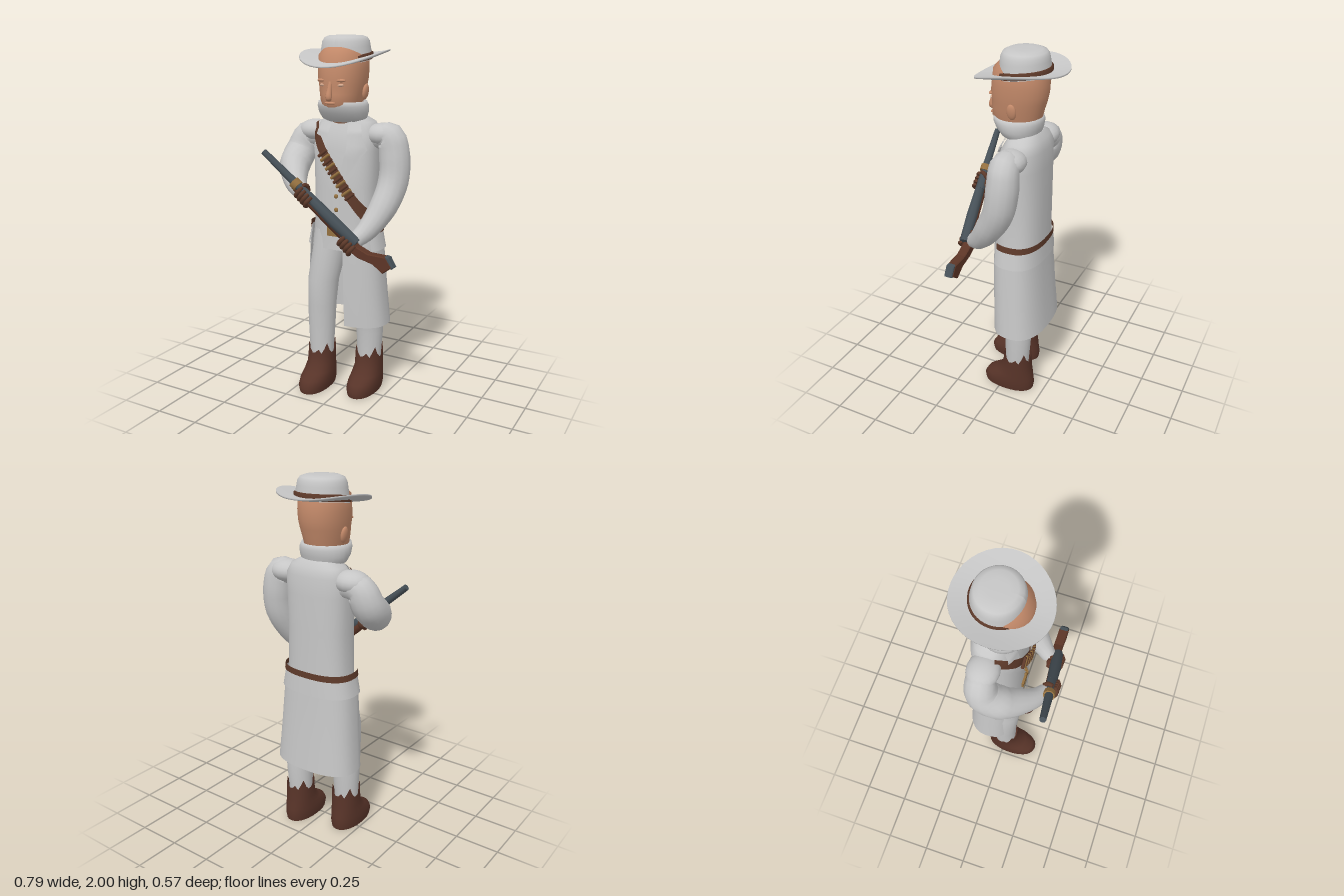
import * as THREE from 'three';

const V = (x, y, z) => new THREE.Vector3(x, y, z);
const mat = (name, color, double = true) => {
  const m = new THREE.MeshStandardMaterial({ color });
  m.name = name;
  if (double) m.side = THREE.DoubleSide;
  return m;
};

// Surface through a list of rings; closed rings can be capped at both ends
function skin(rings, closed = true, capped = true) {
  const n = rings[0].length, pos = [], idx = [];
  rings.forEach(r => r.forEach(p => pos.push(p.x, p.y, p.z)));
  const m = closed ? n : n - 1;
  for (let i = 0; i < rings.length - 1; i++) for (let j = 0; j < m; j++) {
    const a = i * n + j, b = i * n + (j + 1) % n, c = a + n, d = b + n;
    idx.push(a, b, c, b, d, c);
  }
  if (closed && capped) [rings[0], rings[rings.length - 1]].forEach((r, end) => {
    const base = pos.length / 3, mid = V(0, 0, 0);
    r.forEach(p => { mid.addScaledVector(p, 1 / n); pos.push(p.x, p.y, p.z); });
    pos.push(mid.x, mid.y, mid.z);
    for (let j = 0; j < n; j++) {
      const a = base + j, b = base + (j + 1) % n;
      end ? idx.push(base + n, a, b) : idx.push(base + n, b, a);
    }
  });
  const g = new THREE.BufferGeometry();
  g.setAttribute('position', new THREE.Float32BufferAttribute(pos, 3));
  g.setIndex(idx);
  g.computeVertexNormals();
  return g;
}

// Horizontal rounded sections [y, cx, cz, rx, rz]; angle 0 is the front
function ring([y, cx, cz, rx, rz], n = 28, p = 2, from = 0, to = Math.PI * 2, closed = true) {
  const f = v => Math.sign(v) * Math.abs(v) ** (2 / p);
  return Array.from({ length: n }, (_, j) => {
    const t = from + (to - from) * j / (closed ? n : n - 1);
    return V(cx + rx * f(Math.sin(t)), y, cz + rz * f(Math.cos(t)));
  });
}
const loft = (secs, n, p, capped) => skin(secs.map(s => ring(s, n, p)), true, capped);
const arcLoft = (secs, from, to, p) => skin(secs.map(s => ring(s, 32, p, from, to, false)), false);

// Tapered tube through [x, y, z, radius] points
function limb(pts, n = 14, steps = 4) {
  const curve = new THREE.CatmullRomCurve3(pts.map(p => V(p[0], p[1], p[2])));
  const count = (pts.length - 1) * steps, rings = [];
  for (let i = 0; i <= count; i++) {
    const k = Math.min(Math.floor(i / steps), pts.length - 2), f = i / steps - k;
    const r = pts[k][3] * (1 - f) + pts[k + 1][3] * f;
    const c = curve.getPoint(i / count), t = curve.getTangent(i / count);
    const N = V(0, 0, 1).addScaledVector(t, -t.z).normalize(), B = t.clone().cross(N);
    rings.push(Array.from({ length: n }, (_, j) => {
      const a = j / n * Math.PI * 2;
      return c.clone().addScaledVector(N, r * Math.cos(a)).addScaledVector(B, r * Math.sin(a));
    }));
  }
  return skin(rings);
}

// Jacket body sections, also used to lay lapels and straps on the chest
const BODY_P = 2.5;
const BODY = [
  [0.85, -0.02, -0.06, 0.2, 0.135], [0.97, -0.02, -0.06, 0.185, 0.13], [1.2, -0.02, -0.06, 0.18, 0.132],
  [1.4, -0.02, -0.063, 0.187, 0.127], [1.5, -0.02, -0.075, 0.185, 0.113],
  [1.55, -0.02, -0.08, 0.155, 0.09], [1.58, -0.02, -0.07, 0.1, 0.075]];
function chestZ(x, y) {
  let k = 0;
  while (k < BODY.length - 2 && BODY[k + 1][0] < y) k++;
  const f = Math.min(1, (y - BODY[k][0]) / (BODY[k + 1][0] - BODY[k][0]));
  const [, cx, cz, rx, rz] = BODY[k].map((v, i) => v + (BODY[k + 1][i] - v) * f);
  const u = Math.min(0.96, Math.abs((x - cx) / rx));
  return cz + rz * (1 - u ** BODY_P) ** (1 / BODY_P);
}
// Patch between two edges of [x, y] points, laid on the chest
function patch(a, b, off, steps = 8, cross = 5) {
  const rings = [];
  for (let k = 0; k < a.length - 1; k++) for (let s = k ? 1 : 0; s <= steps; s++) {
    const f = s / steps, at = (e, i) => e[k][i] + (e[k + 1][i] - e[k][i]) * f;
    rings.push(Array.from({ length: cross + 1 }, (_, j) => {
      const q = j / cross, x = at(a, 0) * (1 - q) + at(b, 0) * q, y = at(a, 1) * (1 - q) + at(b, 1) * q;
      return V(x, y, chestZ(x, y) + off);
    }));
  }
  return skin(rings, false);
}

export function createModel() {
  const g = new THREE.Group();
  const cloth = mat('pale cloth', 0xc6c6c6), skinM = mat('skin', 0xc48a6a), boot = mat('boot leather', 0x573328);
  const leather = mat('strap leather', 0x5e3a2a), steel = mat('gun steel', 0x465057), brass = mat('brass', 0x94703f);
  const wood = mat('stock wood', 0x5c3526), lid = mat('eyelid', 0xd3a78c);
  const add = (name, geo, m, parent = g) => {
    const o = new THREE.Mesh(geo, m);
    o.name = name;
    parent.add(o);
    return o;
  };
  const blob = (name, m, x, y, z, sx, sy, sz, parent) => {
    const o = add(name, new THREE.SphereGeometry(1, 16, 12), m, parent);
    o.position.set(x, y, z);
    o.scale.set(sx, sy, sz);
    return o;
  };

  // Legs and boots, the right foot further forward
  for (const [side, x, dz] of [['right', -0.155, 0], ['left', 0.113, -0.085]]) {
    const c = side === 'right' ? 1 : -1, k = dz * 0.4;
    add(side + 'Trouser', loft([[0.16, x, dz, 0.066, 0.066], [0.35, x, dz - 0.005, 0.078, 0.075],
      [0.5, x + c * 0.005, dz * 0.8, 0.083, 0.08], [0.65, x + c * 0.015, k, 0.09, 0.088],
      [0.85, x + c * 0.045, k - 0.03, 0.098, 0.1], [0.95, x + c * 0.05, -0.05, 0.1, 0.11]], 20), cloth);
    const rings = [[0, 0.05, 0.078, 0.15], [0.035, 0.05, 0.085, 0.155], [0.07, 0.042, 0.084, 0.142],
      [0.1, 0.02, 0.082, 0.115], [0.14, 0.002, 0.078, 0.09], [0.2, -0.003, 0.078, 0.08], [0.22, -0.003, 0.078, 0.079]]
      .map(([y, z, rx, rz]) => ring([y, x, z + dz, rx, rz], 28, 2.2));
    rings[6].forEach((p, j) => { p.y = [0.21, 0.23, 0.205, 0.235, 0.27, 0.225, 0.205][j % 7]; });
    add(side + 'Boot', skin(rings, true, false), boot);
    add(side + 'Sole', skin([rings[0], rings[0].map(p => p.clone().setY(0.004))]), boot);
  }

  // Jacket body and open coat skirt
  add('jacketBody', loft(BODY, 36, BODY_P), cloth);
  add('coatSkirt', arcLoft([[0.41, -0.02, -0.08, 0.25, 0.15], [0.6, -0.02, -0.07, 0.235, 0.145],
    [0.85, -0.02, -0.06, 0.217, 0.138], [0.96, -0.02, -0.06, 0.205, 0.135]], 0.14, Math.PI * 2 - 0.95, 2.5), cloth);
  add('jacketHem', arcLoft([[0.855, -0.02, -0.06, 0.226, 0.143], [0.95, -0.02, -0.06, 0.207, 0.136]],
    1, Math.PI * 2 - 0.9, 2.5), cloth);
  add('belt', arcLoft([[0.95, -0.02, -0.06, 0.213, 0.139], [0.985, -0.02, -0.06, 0.208, 0.138]],
    1.1, Math.PI * 2 - 0.95, 2.5), leather);
  add('buckle', new THREE.BoxGeometry(0.09, 0.055, 0.012), brass).position.set(-0.022, 0.957, 0.078);

  // Lapels and jacket front edges
  for (const s of [1, -1]) {
    const m = e => e.map(([x, y]) => [-0.02 + s * x, y]);
    add('lapel', patch(m([[0.05, 1.555], [0.062, 1.42], [0.015, 1.2]]), m([[0.11, 1.54], [0.165, 1.41], [0.03, 1.19]]), 0.009), cloth);
    add('collarFlap', patch(m([[0.05, 1.56], [0.065, 1.46]]), m([[0.12, 1.54], [0.14, 1.48]]), 0.014), cloth);
  }
  add('jacketFront', patch([[0.0, 1.2], [0.015, 0.86]], [[0.13, 1.2], [0.15, 0.86]], 0.006), cloth);
  for (const y of [1.155, 1.08, 1.0])
    blob('button', brass, -0.012, y, chestZ(-0.012, y) + 0.008, 0.012, 0.012, 0.008);

  // Bandolier with cartridges
  const w = [0.021, 0.016];
  const path = [[-0.2, 1.53], [-0.03, 1.3], [0.16, 1.03]];
  add('bandolier', patch(path.map(p => [p[0] - w[0], p[1] - w[1]]), path.map(p => [p[0] + w[0], p[1] + w[1]]), 0.013, 12), leather);
  for (let i = 0; i < 11; i++) {
    const x = -0.09 + i * 0.0165, y = 1.385 - i * 0.0222;
    const c = add('cartridge', new THREE.CylinderGeometry(0.008, 0.009, 0.062, 8), i % 2 ? brass : leather);
    c.position.set(x, y, chestZ(x, y) + 0.028);
    c.rotation.z = -0.93;
  }

  // Sleeves
  add('leftSleeve', limb([[0.15, 1.47, -0.07, 0.06], [0.235, 1.475, -0.07, 0.078], [0.262, 1.37, -0.07, 0.085],
    [0.265, 1.24, -0.05, 0.083], [0.24, 1.11, 0.02, 0.075], [0.19, 1.0, 0.105, 0.057], [0.15, 0.95, 0.165, 0.042]]), cloth);
  add('rightSleeve', limb([[-0.19, 1.46, -0.08, 0.06], [-0.275, 1.455, -0.075, 0.078], [-0.308, 1.37, -0.05, 0.088],
    [-0.3, 1.305, 0.03, 0.088], [-0.255, 1.255, 0.11, 0.072], [-0.19, 1.21, 0.185, 0.052], [-0.13, 1.185, 0.22, 0.038]]), cloth);
  for (const [name, x] of [['leftShoulder', 0.19], ['rightShoulder', -0.225]])
    blob(name, cloth, x, 1.485, -0.075, 0.1, 0.062, 0.085);

  // Scarf, neck and head
  add('scarf', loft([[1.55, -0.025, -0.05, 0.1, 0.085], [1.565, -0.025, -0.04, 0.125, 0.1], [1.6, -0.025, -0.03, 0.138, 0.12],
    [1.635, -0.025, -0.025, 0.14, 0.132], [1.66, -0.025, -0.02, 0.13, 0.13], [1.65, -0.025, -0.02, 0.112, 0.118]], 28, 2, false), cloth);
  add('head', loft([[1.54, -0.025, -0.06, 0.075, 0.075], [1.61, -0.025, -0.02, 0.09, 0.11], [1.65, -0.025, -0.014, 0.102, 0.132],
    [1.7, -0.025, -0.02, 0.113, 0.138], [1.74, -0.025, -0.027, 0.12, 0.143], [1.78, -0.025, -0.029, 0.126, 0.15],
    [1.83, -0.025, -0.033, 0.129, 0.148], [1.9, -0.025, -0.035, 0.129, 0.14], [1.94, -0.025, -0.04, 0.1, 0.11]], 32, 2.15), skinM);
  add('nose', limb([[-0.025, 1.765, 0.112, 0.01], [-0.025, 1.72, 0.124, 0.014], [-0.025, 1.685, 0.132, 0.018],
    [-0.025, 1.672, 0.122, 0.012]], 10), skinM);
  blob('upperLip', skinM, -0.025, 1.656, 0.118, 0.034, 0.007, 0.014);
  for (const s of [1, -1]) {
    blob('eye', lid, -0.025 + s * 0.048, 1.748, 0.099, 0.023, 0.009, 0.012);
    blob('brow', skinM, -0.025 + s * 0.05, 1.772, 0.1, 0.034, 0.009, 0.016);
    blob('ear', skinM, -0.025 + s * 0.126, 1.71, -0.04, 0.014, 0.042, 0.026).rotation.z = -s * 0.15;
  }

  // Hat: the brim dips at the front and curls up at the sides
  const tilt = (geo, curl) => {
    const p = geo.attributes.position;
    for (let i = 0; i < p.count; i++) {
      const x = p.getX(i), z = p.getZ(i), low = Math.max(0, Math.min(1, (2 - p.getY(i)) / 0.1));
      p.setY(i, p.getY(i) + low * (-0.13 * z + curl * (x / 0.24) ** 2));
    }
    geo.computeVertexNormals();
    return geo;
  };
  const lathe = pts => new THREE.LatheGeometry(pts.map(p => new THREE.Vector2(...p)), 40);
  const hat = new THREE.Group();
  hat.name = 'hat';
  hat.position.set(-0.025, 0, -0.04);
  g.add(hat);
  add('hatBrim', tilt(lathe([[0.11, 1.872], [0.18, 1.864], [0.24, 1.868], [0.241, 1.873], [0.24, 1.877],
    [0.18, 1.876], [0.11, 1.882]]), 0.045), cloth, hat);
  const crown = add('hatCrown', tilt(lathe([[0.142, 1.865], [0.138, 1.9], [0.132, 1.94], [0.127, 1.968], [0.115, 1.988],
    [0.09, 1.998], [0.05, 2], [0.0001, 2]]), 0.02), cloth, hat);
  const band = add('hatBand', tilt(lathe([[0.143, 1.868], [0.148, 1.87], [0.146, 1.9], [0.137, 1.904]]), 0.02), leather, hat);
  for (const o of [crown, band]) { o.position.z = -0.014; o.scale.z = 0.95; }

  // Rifle held across the body
  const gun = new THREE.Group();
  gun.name = 'rifle';
  g.add(gun);
  add('barrel', limb([[-0.345, 1.4, 0.268, 0.017], [-0.16, 1.243, 0.25, 0.023], [-0.06, 1.155, 0.236, 0.027]], 8, 1), steel, gun);
  add('receiver', limb([[-0.06, 1.155, 0.236, 0.027], [0.06, 1.05, 0.223, 0.032], [0.18, 0.95, 0.208, 0.028]], 8, 1), steel, gun);
  add('foreStock', limb([[-0.175, 1.228, 0.243, 0.02], [-0.06, 1.125, 0.23, 0.025], [0.1, 0.985, 0.21, 0.025]], 8, 1), wood, gun);
  add('barrelBand', limb([[-0.172, 1.25, 0.25, 0.031], [-0.145, 1.227, 0.248, 0.031]], 12, 1), brass, gun);
  const extrude = (pts, depth) => new THREE.ExtrudeGeometry(new THREE.Shape(pts.map(p => new THREE.Vector2(...p))),
    { depth, bevelEnabled: true, bevelSize: 0.004, bevelThickness: 0.006, bevelSegments: 1 });
  add('buttStock', extrude([[0.11, 0.99], [0.18, 0.93], [0.25, 0.9], [0.35, 0.896], [0.382, 0.85], [0.335, 0.815],
    [0.28, 0.855], [0.19, 0.878], [0.09, 0.94]], 0.04), wood, gun).position.z = 0.172;
  add('buttPlate', extrude([[0.35, 0.9], [0.364, 0.897], [0.391, 0.849], [0.382, 0.843]], 0.034), steel, gun).position.z = 0.175;

  // Gloved hands wrapped round the rifle
  for (const [name, x, y, z] of [['rightHand', -0.1, 1.182, 0.238], ['leftHand', 0.137, 0.943, 0.203]]) {
    const hand = new THREE.Group();
    hand.name = name;
    hand.position.set(x, y, z);
    hand.rotation.z = -0.71;
    g.add(hand);
    blob('palm', leather, 0, -0.018, -0.012, 0.052, 0.035, 0.032, hand);
    for (let i = 0; i < 4; i++) {
      const u = -0.036 + i * 0.024;
      add('finger', limb([[u, -0.045, 0, 0.012], [u, -0.03, 0.03, 0.013], [u, 0.002, 0.042, 0.012], [u, 0.03, 0.028, 0.009]], 8, 3), leather, hand);
    }
    add('thumb', limb([[-0.02, 0.01, -0.028, 0.014], [-0.035, 0.035, -0.01, 0.012], [-0.045, 0.036, 0.015, 0.01]], 8, 3), leather, hand);
  }
  return g;
}
